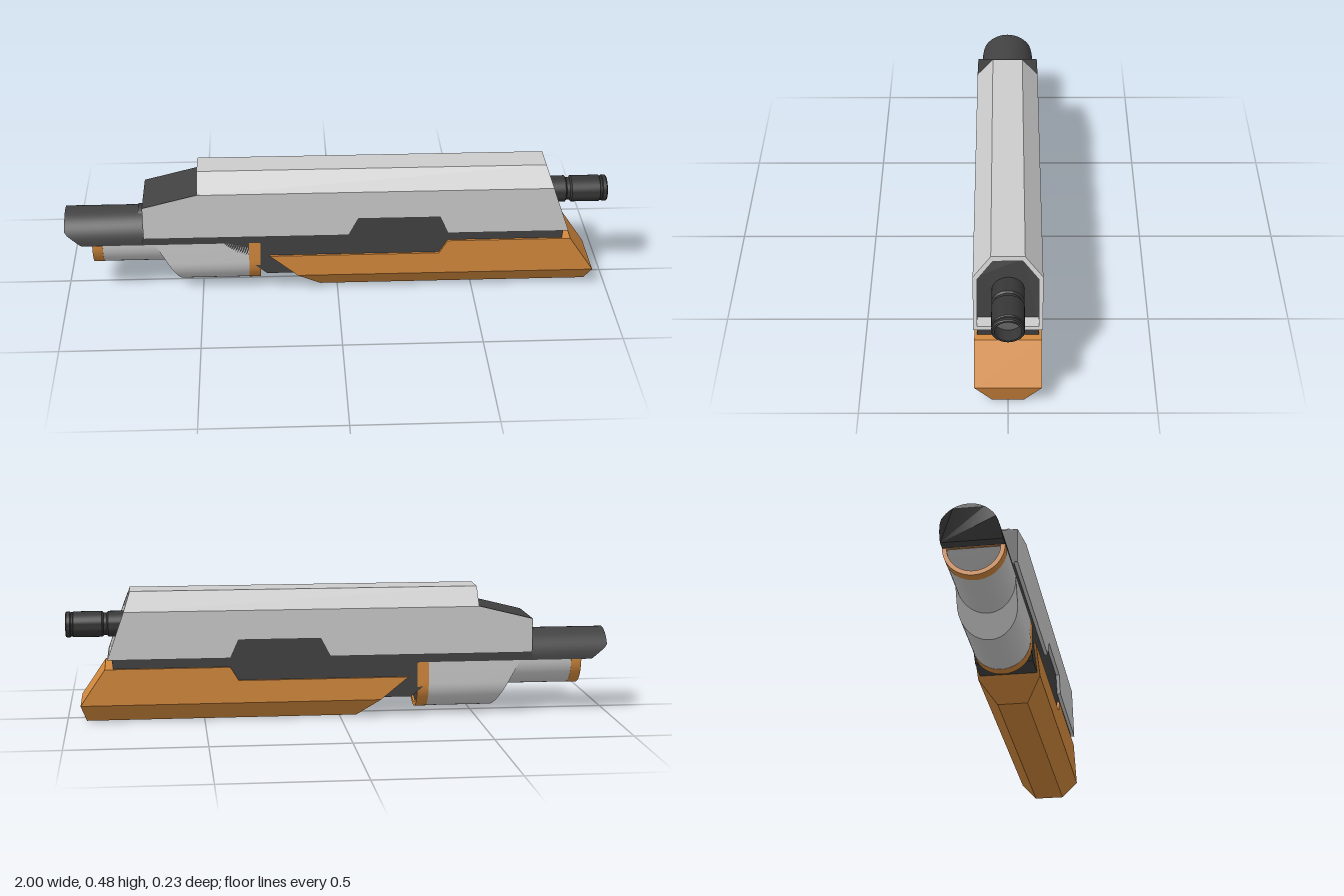
import * as THREE from 'three';
import { toCreasedNormals } from 'three/addons/utils/BufferGeometryUtils.js';

const mat = (color) => new THREE.MeshStandardMaterial({ color, side: THREE.DoubleSide });
const GREY = mat(0xcccccc), DARK = mat(0x424242), BLACK = mat(0x363636), ORANGE = mat(0xd4893d), BORE = mat(0x666666);

const shapeOf = (pts) => new THREE.Shape(pts.map(([x, y]) => new THREE.Vector2(x, y)));

// Side profile (x, y) given thickness from z0 to z1
function plate(pts, z0, z1) {
  return new THREE.ExtrudeGeometry(shapeOf(pts), { depth: z1 - z0, bevelEnabled: false }).translate(0, 0, z0);
}

// Cross-section (z, y) run along x; the end caps may lean with height
function run(shape, back, front) {
  const g = new THREE.ExtrudeGeometry(shape, { depth: 1, bevelEnabled: false }).rotateY(Math.PI / 2);
  const p = g.attributes.position;
  for (let i = 0; i < p.count; i++) p.setX(i, (p.getX(i) > 0.5 ? front : back)(p.getY(i)));
  g.computeVertexNormals();
  return g;
}

// Mirrored section from its right half
const mirrored = (half) => shapeOf([...half, ...half.map(([x, y]) => [-x, y]).reverse()]);

// U section: straight sides from top down to cy, then a half circle
function uSection(r, cy, top) {
  const half = [[r, top]];
  for (let i = 0; i <= 16; i++) {
    const a = (i / 16) * Math.PI / 2;
    if (i === 0 && Math.abs(top - cy) < 1e-6) continue;
    half.push([r * Math.cos(a), cy - r * Math.sin(a)]);
  }
  half[half.length - 1][0] = 0.0005;
  return mirrored(half);
}

export function createModel() {
  const model = new THREE.Group();
  const add = (name, geometry, material) => {
    const m = new THREE.Mesh(geometry, material);
    m.name = name;
    model.add(m);
    return m;
  };
  const at = (x) => () => x;
  const muzzle = (y) => 0.85 - (y - 0.235) * 0.35;

  // Upper shell: roof, two notched side panels and the lip below the muzzle
  add('shellRoof', run(mirrored([[0.103, 0.402], [0.117, 0.41], [0.057, 0.477]]
    .concat([])), at(-0.51), muzzle), GREY).geometry = run(shapeOf([
    [0.117, 0.41], [0.057, 0.477], [-0.057, 0.477], [-0.117, 0.41],
    [-0.103, 0.402], [-0.05, 0.462], [0.05, 0.462], [0.103, 0.402],
  ]), at(-0.51), muzzle);
  const panel = [
    [-0.71, 0.235], [0.04, 0.235], [0.075, 0.302], [0.375, 0.302], [0.405, 0.235],
    [muzzle(0.235), 0.235], [muzzle(0.41), 0.41], [-0.51, 0.41], [-0.71, 0.36],
  ];
  add('shellSideLeft', plate(panel, 0.103, 0.117), GREY);
  add('shellSideRight', plate(panel, -0.117, -0.103), GREY);
  add('shellLip', run(mirrored([[0.104, 0.235], [0.104, 0.247]]), at(0.72), muzzle), GREY);

  // Dark core inside the shell, set back at the muzzle
  add('core', run(mirrored([[0.104, 0.22], [0.104, 0.403], [0.051, 0.4625]]),
    at(-0.505), (y) => (y < 0.23 ? 0.8 : muzzle(y) - 0.014)), DARK);
  add('rearRamp', plate([[-0.711, 0.236], [-0.5, 0.236], [-0.5, 0.411], [-0.511, 0.411], [-0.711, 0.361]],
    -0.1165, 0.1165), DARK);

  // Frame
  add('frame', plate([
    [-0.72, 0.203], [-0.42, 0.203], [-0.262, 0.075], [-0.14, 0.075], [0.0, 0.1], [0.8, 0.1],
    [0.83, 0.2], [0.835, 0.24], [-0.71, 0.24],
  ], -0.104, 0.104), DARK);

  // Rounded tail with an undercut end
  const arch = new THREE.Shape().absarc(0, 0.203, 0.104, 0, Math.PI, false);
  add('tail', toCreasedNormals(run(arch, (y) => -1 + Math.max(0, 0.25 - y) * 1.28, at(-0.69)), 0.5), DARK);
  const knob = new THREE.CylinderGeometry(0.05, 0.05, 0.03, 24).rotateZ(Math.PI / 2);
  add('tailKnob', knob, BLACK).position.set(-0.717, 0.268, 0);

  // Rear housing: shallow half round, then a deeper U with a sloped back
  const shallow = uSection(0.104, 0.203, 0.203), deep = uSection(0.104, 0.124, 0.203);
  const slope = (y) => -0.57 - (y - 0.02) * 0.55;
  add('housingRear', toCreasedNormals(run(shallow, at(-0.865), at(-0.55)), 0.5), GREY);
  add('housingFront', toCreasedNormals(run(deep, slope, at(-0.325)), 0.5), GREY);

  // Orange end bands with dark recessed plugs
  const band = (name, cy, x0, x1, inner0, inner1) => {
    const ring = uSection(0.105, cy, 0.203);
    ring.holes.push(new THREE.Path(uSection(0.09, cy, 0.197 > cy ? 0.197 : cy - 0.002).getPoints()));
    add(name, toCreasedNormals(run(ring, at(x0), at(x1)), 0.5), ORANGE);
    add(name + 'Plug', run(uSection(0.092, cy, 0.203), at(inner0), at(inner1)), DARK);
  };
  band('rearBand', 0.203, -0.9, -0.862, -0.892, -0.86);
  band('frontBand', 0.124, -0.327, -0.285, -0.33, -0.293);

  // Orange lower body: straight upper part, keel narrowing downward
  add('lowerBody', plate([
    [-0.148, 0.067], [0.95, 0.067], [0.86, 0.2], [0.405, 0.2], [0.375, 0.15], [-0.25, 0.15],
  ], -0.113, 0.113), ORANGE);
  const keel = plate([[-0.063, 0], [0.93, 0], [0.95, 0.067], [-0.148, 0.067]], -0.113, 0.113);
  const p = keel.attributes.position;
  for (let i = 0; i < p.count; i++) if (p.getY(i) < 0.03) p.setZ(i, Math.sign(p.getZ(i)) * 0.055);
  keel.computeVertexNormals();
  add('keel', keel, ORANGE);

  // Barrel: oval, with grooves and an open bore
  const profile = [
    [0.047, 0.7], [0.047, 0.845], [0.041, 0.85], [0.041, 0.862], [0.047, 0.868], [0.047, 0.972],
    [0.044, 0.975], [0.044, 0.981], [0.047, 0.984], [0.047, 0.996], [0.044, 1], [0.038, 1], [0.038, 0.94],
  ].map(([r, y]) => new THREE.Vector2(r, y));
  const barrel = toCreasedNormals(new THREE.LatheGeometry(profile, 32).rotateZ(-Math.PI / 2), 0.5);
  const b = add('barrel', barrel, BLACK);
  b.position.y = 0.35;
  b.scale.z = 1.17;
  const bore = add('bore', new THREE.CircleGeometry(0.038, 32).rotateY(Math.PI / 2), BORE);
  bore.position.set(0.945, 0.35, 0);
  bore.scale.z = 1.17;

  return model;
}
